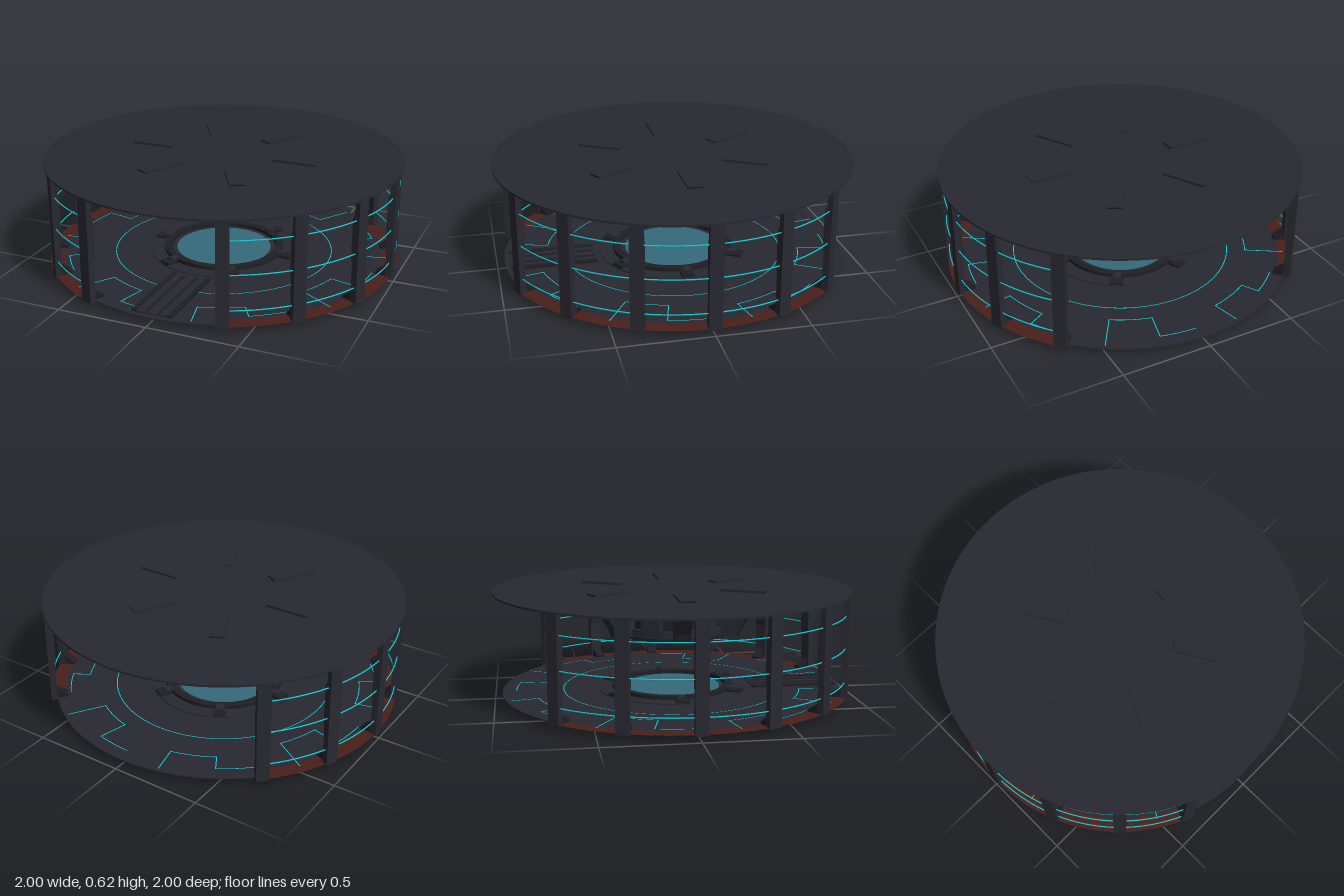
import * as THREE from 'three';

export function createModel() {
  const root = new THREE.Group();
  const mat = (name, color, side = THREE.FrontSide) => {
    const m = new THREE.MeshStandardMaterial({ color, side });
    m.name = name;
    return m;
  };
  const dark = mat('darkMetal', 0x282831);
  const black = mat('blackMetal', 0x1e1e24);
  const teal = mat('tealGlass', 0x356a7b);
  const glow = mat('cyanLine', 0x12ced6, THREE.DoubleSide);
  const red = mat('darkRed', 0x4a1f1b, THREE.DoubleSide);
  const rad = THREE.MathUtils.degToRad;

  const add = (name, geo, material, parent = root) => {
    const m = new THREE.Mesh(geo, material);
    m.name = name;
    parent.add(m);
    return m;
  };
  // Group whose +z axis points outwards at an angle measured from the front
  const spoke = (name, deg) => {
    const g = new THREE.Group();
    g.name = name;
    g.rotation.y = rad(deg);
    root.add(g);
    return g;
  };
  // Radius/height outline extruded sideways to a given width
  const slab = (pts, width) => {
    const shape = new THREE.Shape(pts.map(p => new THREE.Vector2(...p)));
    return new THREE.ExtrudeGeometry(shape, { depth: width, bevelEnabled: false })
      .translate(0, 0, -width / 2).rotateY(-Math.PI / 2);
  };
  const box = (w, h, d, x, y, z) => new THREE.BoxGeometry(w, h, d).translate(x, y, z);
  const disc = (r, y0, y1) =>
    new THREE.CylinderGeometry(r, r, y1 - y0, 96).translate(0, (y0 + y1) / 2, 0);
  // Flat ring section between two angles
  const flatArc = (r0, r1, y, a, b) =>
    new THREE.RingGeometry(r0, r1, Math.max(3, Math.ceil((b - a) / 4)), 1, rad(a - 90), rad(b - a))
      .rotateX(-Math.PI / 2).translate(0, y, 0);
  // Closed ring with sharp rectangular section
  const collar = (r0, r1, y0, y1) => {
    const s = new THREE.Shape().absarc(0, 0, r1, 0, Math.PI * 2);
    s.holes.push(new THREE.Path().absarc(0, 0, r0, 0, Math.PI * 2, true));
    return new THREE.ExtrudeGeometry(s, { depth: y1 - y0, bevelEnabled: false, curveSegments: 64 })
      .rotateX(-Math.PI / 2).translate(0, y0, 0);
  };

  // Ceiling and floor plates
  add('ceiling', disc(1, 0.597, 0.608), dark);
  add('floor', disc(0.96, 0.03, 0.036), dark);

  // Centre pad
  add('padBody', disc(0.44, 0.004, 0.034), teal);
  add('padUnderside', collar(0.27, 0.44, 0.0015, 0.004), black);
  add('padUnderLine', flatArc(0.362, 0.367, 0, 0, 360), glow);
  add('padDeck', collar(0.27, 0.42, 0.034, 0.042), dark);
  add('padRim', collar(0.3, 0.34, 0.042, 0.062), black);
  add('padLens', disc(0.27, 0.034, 0.046), teal);
  for (let i = 0; i < 6; i++) {
    const g = spoke('padClamp', 30 + i * 60);
    add('clampBase', box(0.07, 0.02, 0.07, 0, 0.046, 0.38), black, g);
    add('clampTop', box(0.04, 0.024, 0.05, 0, 0.056, 0.35), dark, g);
    add('clampFoot', box(0.03, 0.03, 0.012, 0, 0.018, 0.437), black, g);
  }

  // Ceiling fixture
  add('fixtureLowerRing', collar(0.27, 0.335, 0.36, 0.375), black);
  add('fixtureBand', collar(0.25, 0.31, 0.375, 0.41), dark);
  add('fixtureBody', collar(0.24, 0.28, 0.41, 0.5), black);
  add('fixtureUpperRing', collar(0.22, 0.3, 0.5, 0.53), dark);
  add('fixtureTopRing', collar(0.22, 0.3, 0.54, 0.565), dark);
  add('fixtureNeck', collar(0.22, 0.25, 0.53, 0.6), black);

  for (let i = 0; i < 6; i++) {
    const fin = spoke('ceilingFin', 30 + i * 60);
    add('finPlate', slab([[0.29, 0.36], [0.39, 0.36], [0.42, 0.42], [0.55, 0.615], [0.55, 0.622],
      [0.3, 0.622], [0.29, 0.58]], 0.08), dark, fin);
    const clip = spoke('fixtureClip', i * 60);
    add('clipBlock', box(0.11, 0.09, 0.05, 0, 0.435, 0.295), dark, clip);
  }
  // Small glass blocks under the front and back clips
  for (const z of [-0.305, 0.305])
    add('fixtureGlass', box(0.1, 0.04, 0.04, 0, 0.392, z), teal);

  // Wall columns, leaving openings at the front and back
  const right = [22.5, 45, 67.5, 90, 112.5, 135];
  for (const deg of [...right, ...right.map(d => -d)]) {
    const g = spoke('column', deg);
    add('columnPost', slab([[0.96, 0.03], [0.995, 0.03], [0.995, 0.6], [0.965, 0.6],
      [0.965, 0.52], [0.953, 0.49], [0.953, 0.28], [0.96, 0.25]], 0.07), dark, g);
    add('columnFoot', slab([[0.9, 0.032], [0.965, 0.032], [0.965, 0.095], [0.945, 0.08],
      [0.9, 0.05]], 0.05), black, g);
    for (const x of [-0.022, 0.022])
      add('footBolt', new THREE.SphereGeometry(0.01, 10, 8).translate(x, 0.03, 0.92), black, g);
  }

  // Curved light rails and red floor edge between neighbouring columns
  for (const start of [22.5, -135]) {
    for (const y of [0.12, 0.31, 0.49])
      add('rail', new THREE.TorusGeometry(0.978, 0.0035, 6, 60, rad(112.5))
        .rotateX(-Math.PI / 2).rotateY(rad(start - 90)).translate(0, y, 0), glow);
    add('floorEdge', flatArc(0.91, 0.99, 0.0368, start, start + 112.5), red);
  }

  // Glowing inlay lines on both faces of the floor
  for (const y of [0.0285, 0.0378]) {
    add('inlayCircle', flatArc(0.616, 0.621, y, 0, 360), glow);
    for (let i = 0; i < 8; i++) {
      const a = 22 + i * 45;
      const inner = i % 2 ? 0.72 : 0.78;
      add('inlayArc', flatArc(inner, inner + 0.005, y, a - 9, a + 9), glow);
      add('inlayOuterArc', flatArc(0.88, 0.885, y, a + 9, a + 22), glow);
      const g = spoke('inlayTrace', a + 9);
      add('inlayLine', box(0.005, 0.001, 0.885 - inner, 0, y, (0.885 + inner) / 2), glow, g);
      const h = spoke('inlayTrace', a - 9);
      add('inlayLine', box(0.005, 0.001, 0.94 - inner, 0, y, (0.94 + inner) / 2), glow, h);
    }
  }

  // Entrance walkway with lengthwise strips
  add('walkway', box(0.2, 0.008, 0.48, 0, 0.04, 0.69), dark);
  for (const x of [-0.1, 0.1])
    add('walkwayEdge', box(0.025, 0.016, 0.48, x, 0.044, 0.69), black);
  for (const x of [-0.035, 0.035])
    add('walkwayStrip', box(0.015, 0.006, 0.46, x, 0.046, 0.69), black);

  return root;
}
